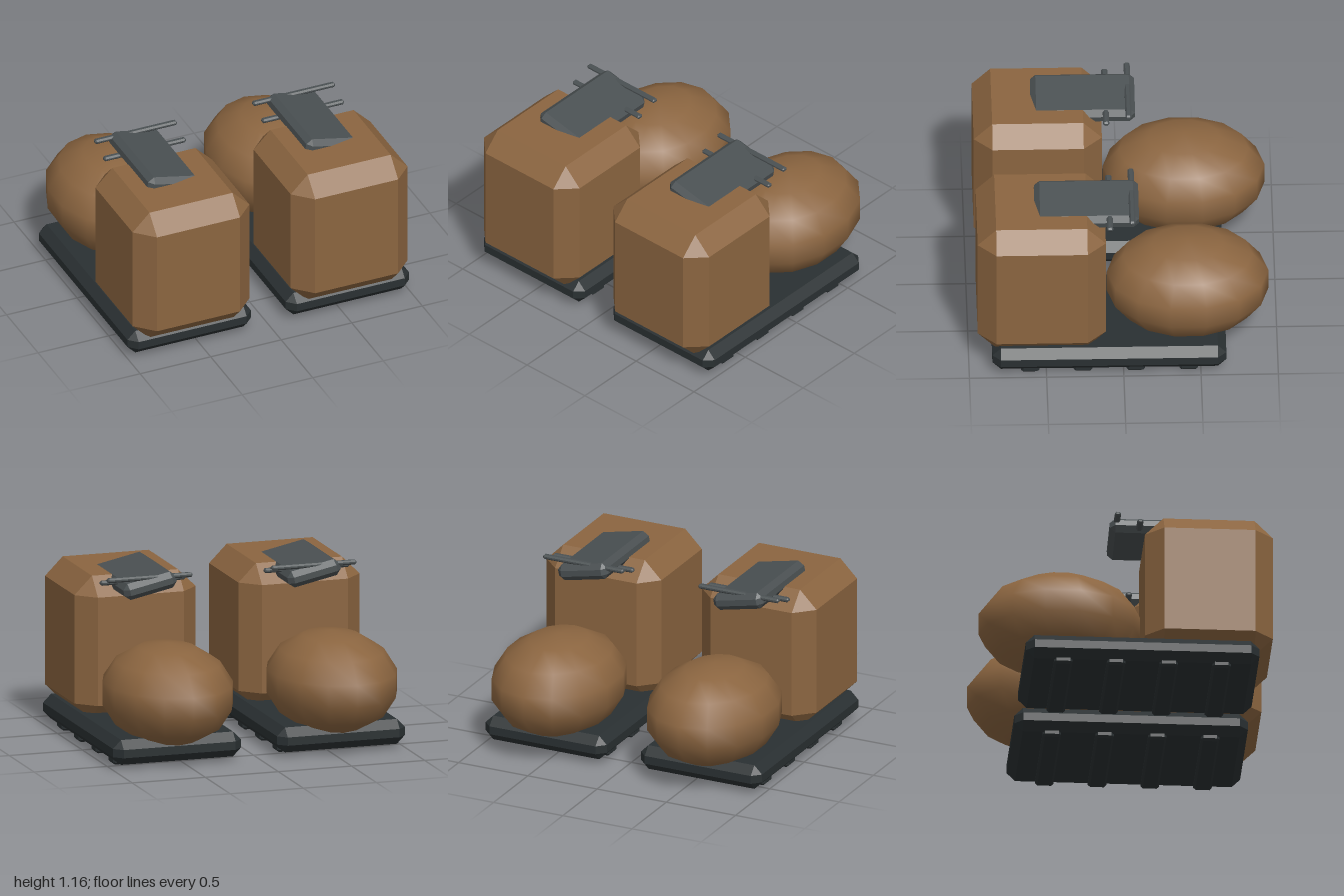
import * as THREE from 'three';
import { ConvexGeometry } from 'three/addons/geometries/ConvexGeometry.js';

const brown = new THREE.MeshStandardMaterial({ color: 0x8b6540, flatShading: true });
const brownSmooth = new THREE.MeshStandardMaterial({ color: 0x8b6540 });
const dark = new THREE.MeshStandardMaterial({ color: 0x2a3032, flatShading: true });
const grey = new THREE.MeshStandardMaterial({ color: 0x4a5052, flatShading: true });

// Box with every edge and corner cut by the chamfer c
function chamferBox(w, h, d, c) {
  const pts = [];
  for (const sx of [-1, 1]) for (const sy of [-1, 1]) for (const sz of [-1, 1]) {
    const x = w / 2, y = h / 2, z = d / 2;
    pts.push(new THREE.Vector3(sx * x, sy * (y - c), sz * (z - c)));
    pts.push(new THREE.Vector3(sx * (x - c), sy * y, sz * (z - c)));
    pts.push(new THREE.Vector3(sx * (x - c), sy * (y - c), sz * z));
  }
  return new ConvexGeometry(pts);
}

function add(parent, name, geometry, material, x, y, z) {
  const mesh = new THREE.Mesh(geometry, material);
  mesh.name = name;
  mesh.position.set(x, y, z);
  parent.add(mesh);
  return mesh;
}

function createBoot(name) {
  const boot = new THREE.Group();
  boot.name = name;

  // Sole with four tread bars
  add(boot, 'sole', chamferBox(0.875, 0.165, 1.515, 0.055), dark, 0, 0.1125, 0.0925);
  for (let i = 0; i < 4; i++) {
    add(boot, 'tread' + (i + 1), chamferBox(0.78, 0.06, 0.12, 0.015), dark, 0, 0.03, 0.605 - i * 0.342);
  }

  // Tall block at the front
  add(boot, 'frontBlock', chamferBox(0.828, 0.96, 0.83, 0.12), brown, 0, 0.615, 0.528);

  // Rounded back, a coarse stretched sphere
  const ball = new THREE.SphereGeometry(1, 14, 7);
  ball.rotateY(Math.PI / 2);
  ball.scale(0.428, 0.335, 0.537);
  add(boot, 'roundedBack', ball, brownSmooth, 0, 0.44, -0.422);

  // Tongue, rolled to one side
  const tongue = add(boot, 'tongue', chamferBox(0.365, 0.11, 0.675, 0.035), grey, 0, 1.0725, 0.2325);
  tongue.rotation.z = -0.21;

  // Two lace bars across the tongue
  const bar = chamferBox(0.58, 0.03, 0.04, 0.01);
  add(boot, 'backLace', bar, grey, 0, 1.125, -0.06);
  add(boot, 'frontLace', bar, grey, 0, 1.077, 0.085);
  return boot;
}

export function createModel() {
  const model = new THREE.Group();
  model.name = 'boots';
  for (const [name, x] of [['rightBoot', -0.5605], ['leftBoot', 0.5605]]) {
    const boot = createBoot(name);
    boot.position.x = x;
    model.add(boot);
  }
  return model;
}
